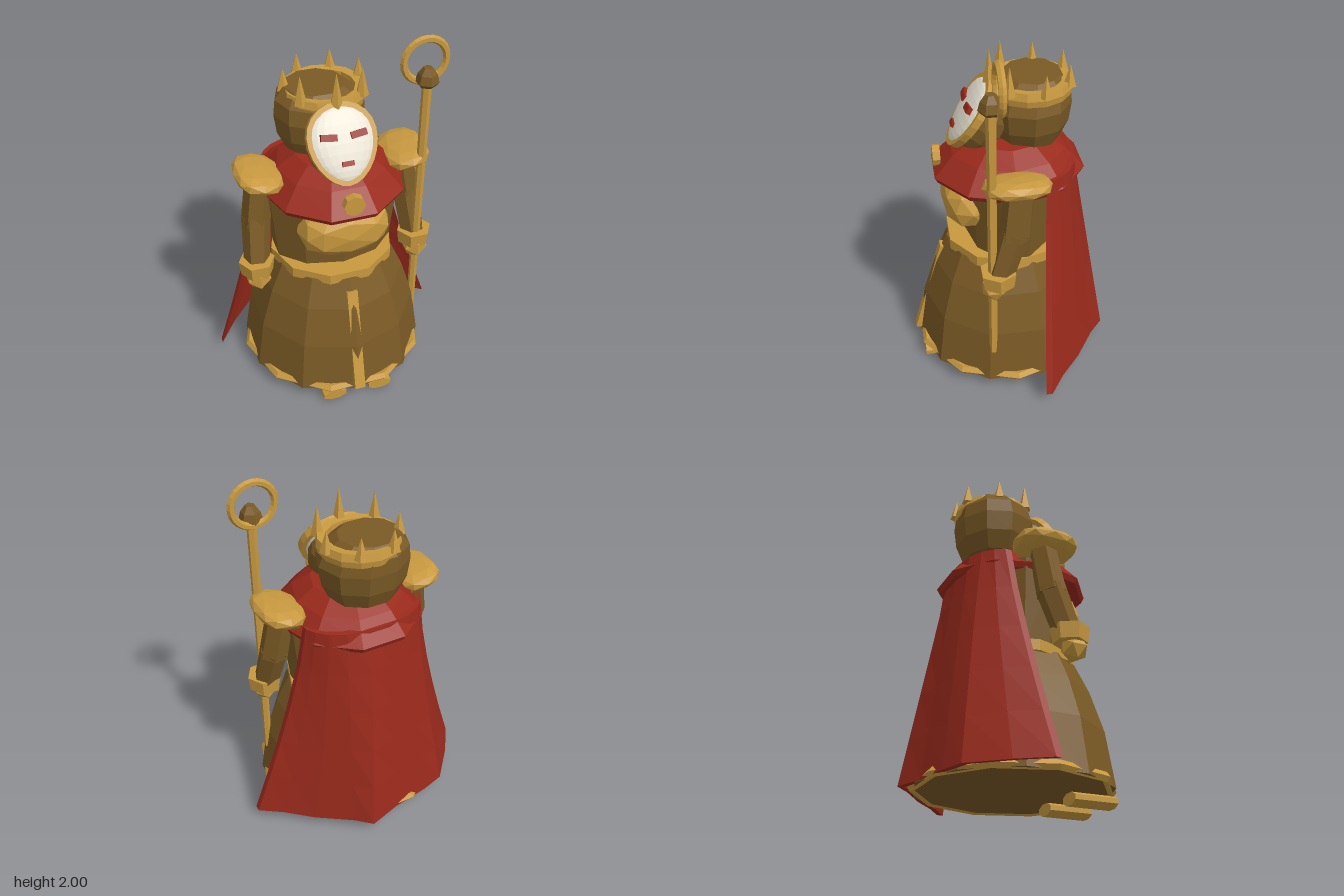
import * as THREE from 'three';

const mat = (color, side = THREE.FrontSide) =>
  new THREE.MeshStandardMaterial({ color, flatShading: true, side });

export function createModel() {
  const gold = mat(0xc8993f), brown = mat(0x7a5a25), red = mat(0x9a2a1c), white = mat(0xe9e4d4);
  const goldThin = mat(0xc8993f, THREE.DoubleSide), redThin = mat(0x9a2a1c, THREE.DoubleSide);
  const root = new THREE.Group();

  const add = (name, geo, material, pos = [0, 0, 0], parent = root) => {
    const m = new THREE.Mesh(geo, material);
    m.name = name;
    m.position.set(...pos);
    parent.add(m);
    return m;
  };
  const lathe = (pts, sides, start = 0) =>
    new THREE.LatheGeometry(pts.map(([r, y]) => new THREE.Vector2(r, y)), sides, start);
  // tapered limb between two points
  const limb = (a, b, ra, rb, sides = 6) => {
    const A = new THREE.Vector3(...a), B = new THREE.Vector3(...b), d = B.clone().sub(A);
    const g = new THREE.CylinderGeometry(rb, ra, d.length(), sides);
    g.applyQuaternion(new THREE.Quaternion().setFromUnitVectors(new THREE.Vector3(0, 1, 0), d.normalize()));
    const c = A.add(B).multiplyScalar(0.5);
    return g.translate(c.x, c.y, c.z);
  };
  // faceted pad with slightly boxy outline
  const pad = (sx, sy, sz) => {
    const g = new THREE.IcosahedronGeometry(1, 1), p = g.attributes.position;
    const f = (v) => Math.sign(v) * Math.abs(v) ** 0.8;
    for (let i = 0; i < p.count; i++) p.setXYZ(i, f(p.getX(i)) * sx, f(p.getY(i)) * sy, f(p.getZ(i)) * sz);
    g.computeVertexNormals();
    return g;
  };
  const half = Math.PI / 10;

  // Robe
  add('skirt', lathe([[0, 0.065], [0.525, 0.065], [0.48, 0.36], [0.41, 0.58], [0.335, 0.74], [0, 0.74]], 10), brown, [0, 0, 0.01]);
  add('hem', new THREE.TorusGeometry(0.511, 0.027, 5, 10).rotateX(Math.PI / 2), gold, [0, 0.083, 0.01]);
  add('torso', new THREE.CylinderGeometry(0.39, 0.335, 0.5, 10).scale(1, 1, 0.7), brown, [0, 0.98, 0]);
  add('belt', new THREE.CylinderGeometry(0.35, 0.35, 0.06, 10).rotateY(half), gold, [0, 0.75, 0]);
  add('chestPlate', pad(0.255, 0.15, 0.155), gold, [0, 1.027, 0.212]);
  add('frontStrip', new THREE.BoxGeometry(0.06, 0.615, 0.04), gold, [0, 0.38, 0.452]).rotation.x = -0.28;

  // Collar cape with brooch
  add('collar', lathe([[0.3, 1.17], [0.385, 1.17], [0.4, 1.2], [0.3, 1.31], [0.2, 1.375], [0, 1.38]], 10, half)
    .scale(1, 1, 1.05), redThin);
  add('brooch', new THREE.CylinderGeometry(0.058, 0.058, 0.04, 8).rotateX(Math.PI / 2), gold, [0, 1.27, 0.38]);

  // Long cloak: closed cross-sections blended from shoulders to floor
  const top = [[-0.34, -0.19], [-0.31, -0.24], [-0.26, -0.29], [-0.18, -0.33], [-0.06, -0.35],
    [0.06, -0.35], [0.18, -0.33], [0.26, -0.29], [0.31, -0.24], [0.34, -0.19]];
  const low = [[-0.67, -0.09], [-0.56, -0.25], [-0.4, -0.43], [-0.26, -0.47], [-0.05, -0.505],
    [0.13, -0.56], [0.22, -0.48], [0.4, -0.36], [0.54, -0.24], [0.665, -0.155]];
  const rows = [0, 0, 0.2, 0.4, 0.6, 0.8, 1, 1];
  const pos = [], idx = [], n = top.length * 2;
  rows.forEach((t, r) => {
    const thick = r === 0 || r === rows.length - 1 ? 0 : 0.035;
    const at = (i, off) => pos.push(
      THREE.MathUtils.lerp(top[i][0], low[i][0], t ** 1.3),
      1.27 - 1.2 * t,
      THREE.MathUtils.lerp(top[i][1], low[i][1], t) + off);
    for (let i = 0; i < n / 2; i++) at(i, 0);
    for (let i = n / 2 - 1; i >= 0; i--) at(i, thick);
    if (r > 0) for (let i = 0; i < n; i++) {
      const a = (r - 1) * n + i, b = (r - 1) * n + (i + 1) % n;
      idx.push(a, b, a + n, b, b + n, a + n);
    }
  });
  const cloak = new THREE.BufferGeometry();
  cloak.setAttribute('position', new THREE.Float32BufferAttribute(pos, 3));
  cloak.setIndex(idx);
  cloak.computeVertexNormals();
  add('cloak', cloak, redThin);

  // Arms, shoulder pads and feet
  for (const s of [-1, 1]) {
    const side = s > 0 ? 'left' : 'right';
    add(side + 'ShoulderPad', pad(0.13, 0.05, 0.18), gold, [s * 0.405, 1.297, 0.01]).rotation.z = s * 0.18;
    add(side + 'UpperArm', limb([s * 0.395, 1.28, 0], [s * 0.435, 1.0, 0.03], 0.075, 0.08), brown);
    add(side + 'Forearm', limb([s * 0.43, 1.04, 0.025], [s * 0.46, 0.76, 0.11], 0.08, 0.07), brown);
    add(side + 'Cuff', new THREE.CylinderGeometry(0.1, 0.09, 0.085, 6).rotateY(Math.PI / 6), gold, [s * 0.46, 0.775, 0.115]);
    add(side + 'Hand', new THREE.IcosahedronGeometry(0.075, 0), gold, [s * 0.46, 0.71, 0.135]);
    add(side + 'Foot', new THREE.CylinderGeometry(0.072, 0.072, 0.25, 8).rotateY(Math.PI / 8)
      .rotateX(Math.PI / 2).scale(1, 0.48, 1), gold, [s * 0.135, 0.032, 0.385]);
  }

  // Staff with ring
  const staff = new THREE.Group();
  staff.name = 'staff';
  staff.position.set(0.46, 0, 0.145);
  root.add(staff);
  add('staffShaft', new THREE.CylinderGeometry(0.026, 0.022, 1.53, 6), gold, [0, 1.015, 0], staff);
  add('staffFinial', lathe([[0, 1.745], [0.045, 1.745], [0.062, 1.765], [0.05, 1.81], [0.025, 1.845], [0, 1.845]], 6),
    brown, [0, 0, 0], staff);
  add('staffRing', new THREE.TorusGeometry(0.115, 0.02, 6, 24), gold, [0, 1.865, -0.04], staff);

  // Head: rounded hood whose flat top leans back to one side
  const hood = lathe([[0, 1.35], [0.19, 1.355], [0.235, 1.45], [0.25, 1.56], [0.23, 1.64], [0.165, 1.7], [0, 1.7]], 10, half);
  const hp = hood.attributes.position;
  for (let i = 0; i < hp.count; i++) {
    const lean = Math.max(0, hp.getY(i) - 1.6) / 0.1;
    hp.setX(i, hp.getX(i) - 0.02 * lean);
    hp.setZ(i, hp.getZ(i) * 0.92 - 0.025 * lean);
  }
  hood.computeVertexNormals();
  add('hood', hood, brown, [-0.025, 0, -0.115]);

  // Crown band with seven spikes, tallest in front
  const crown = new THREE.Group();
  crown.name = 'crown';
  crown.position.set(0, 0, -0.12);
  root.add(crown);
  add('crownBand', lathe([[0.165, 1.63], [0.215, 1.62], [0.222, 1.655], [0.212, 1.695], [0.165, 1.69], [0.165, 1.63]], 14),
    goldThin, [0, 0, 0], crown);
  for (let i = 0; i < 7; i++) {
    const a = i * Math.PI * 2 / 7;
    const h = [0.19, 0.16, 0.12][Math.min(i, 7 - i, 2)];
    add('crownSpike', new THREE.ConeGeometry(0.036, h, 5), gold,
      [0.21 * Math.sin(a), 1.67 + h / 2, 0.21 * Math.cos(a)], crown);
  }

  // Mask, leaning forward at the chin, backed by the cowl
  const face = new THREE.Group();
  face.name = 'face';
  face.position.set(0, 1.52, 0.2);
  face.rotation.x = -0.56;
  root.add(face);
  const taper = (y) => 1 + 0.16 * y;
  const egg = (w, h) => {
    const pts = [];
    for (let i = 0; i < 24; i++) {
      const a = i * Math.PI / 12;
      pts.push(new THREE.Vector2(w * Math.cos(a) * taper(Math.sin(a)), h * Math.sin(a)));
    }
    return pts;
  };
  const eggBall = (w, h, d, cols, rings) => {
    const g = new THREE.SphereGeometry(1, cols, rings), p = g.attributes.position;
    for (let i = 0; i < p.count; i++) {
      const y = p.getY(i);
      p.setXYZ(i, p.getX(i) * w * taper(y), y * h, p.getZ(i) * d);
    }
    g.computeVertexNormals();
    return g;
  };
  const rimShape = new THREE.Shape(egg(0.182, 0.213));
  rimShape.holes.push(new THREE.Path(egg(0.152, 0.18)));
  add('maskRim', new THREE.ExtrudeGeometry(rimShape, { depth: 0.04, bevelEnabled: false }), gold, [0, 0, -0.03], face);
  add('mask', eggBall(0.164, 0.193, 0.04, 20, 12), white, [0, 0, 0], face);
  add('cowl', eggBall(0.17, 0.195, 0.12, 10, 8), brown, [0, -0.01, -0.1], face);
  for (const s of [-1, 1])
    add('eye', new THREE.BoxGeometry(0.085, 0.035, 0.03), red, [s * 0.078, 0.04, 0.034], face).rotation.z = s * 0.13;
  add('mouth', new THREE.BoxGeometry(0.062, 0.025, 0.025), red, [0, -0.1, 0.034], face);

  return root;
}
